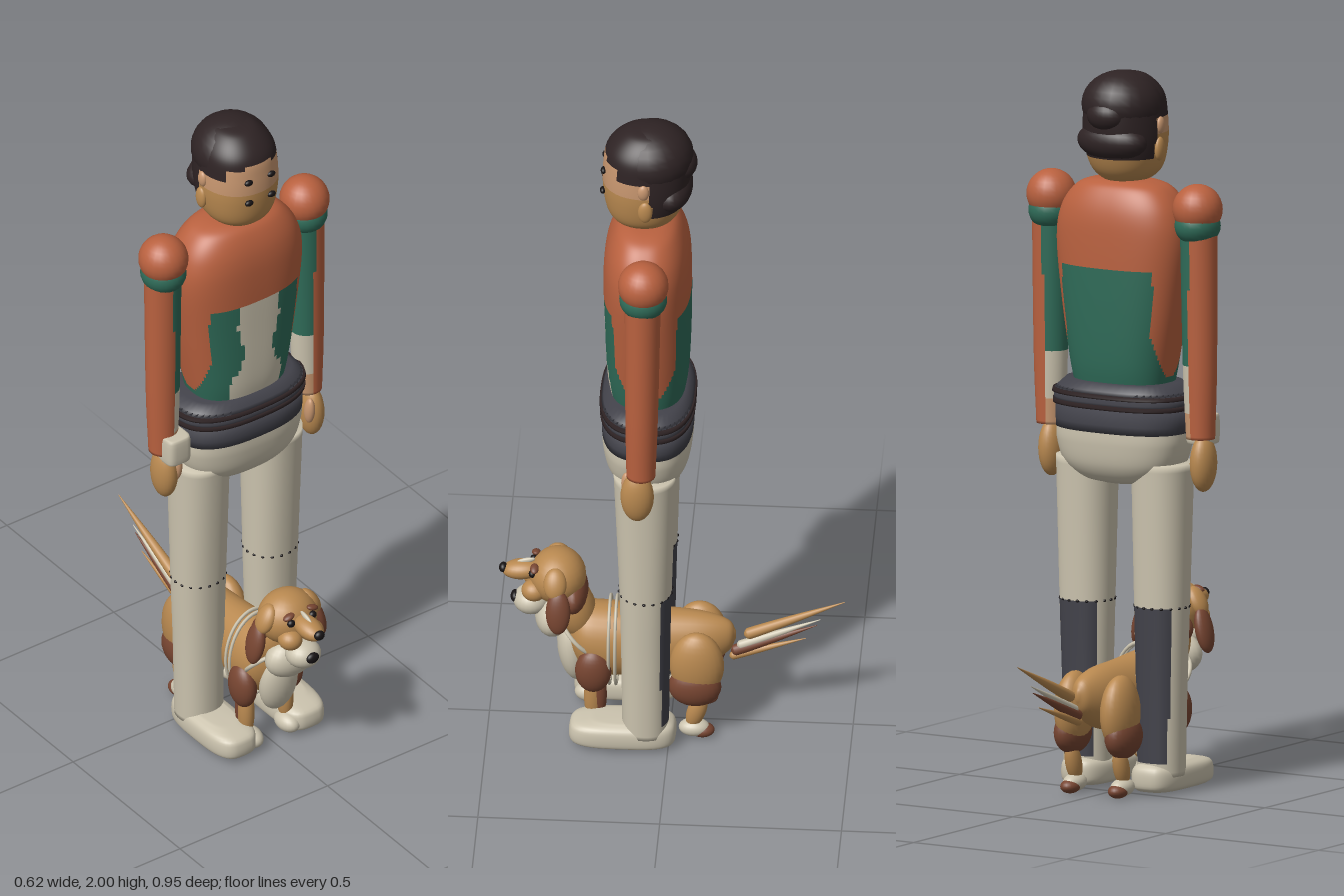
import * as THREE from 'three';

const mat = (name, color) => Object.assign(new THREE.MeshStandardMaterial({ color }), { name });
const M = {
  orange: mat('rust orange', 0xb9613f),
  green: mat('deep green', 0x2f6b58),
  cream: mat('cream', 0xcbc3ae),
  skin: mat('light skin', 0xc7966f),
  tan: mat('tan', 0xb98950),
  brown: mat('red brown', 0x774531),
  charcoal: mat('charcoal', 0x42424a),
  hair: mat('dark hair', 0x2e2324),
  black: mat('black', 0x171314),
};

// Smooth loft through superellipse rings: rows of [y, rx, rz, cx, cz], bottom to top
function loft(rows, power = 2, seg = 32, steps = 40) {
  const size = new THREE.CatmullRomCurve3(rows.map(r => new THREE.Vector3(r[1], r[0], r[2])), false, 'catmullrom', 0.5);
  const mid = new THREE.CatmullRomCurve3(rows.map(r => new THREE.Vector3(r[3], 0, r[4])), false, 'catmullrom', 0.5);
  const pos = [], idx = [];
  const bend = v => Math.sign(v) * Math.abs(v) ** (2 / power);
  for (let j = 0; j <= steps; j++) {
    const s = size.getPoint(j / steps), c = mid.getPoint(j / steps);
    for (let i = 0; i < seg; i++) {
      const a = i / seg * Math.PI * 2;
      pos.push(c.x + s.x * bend(Math.cos(a)), s.y, c.z + s.z * bend(Math.sin(a)));
    }
  }
  for (let j = 0; j < steps; j++) for (let i = 0; i < seg; i++) {
    const a = j * seg + i, b = j * seg + (i + 1) % seg, c = a + seg, d = b + seg;
    idx.push(a, c, b, b, c, d);
  }
  const first = rows[0], last = rows[rows.length - 1], n = pos.length / 3, top = steps * seg;
  pos.push(first[3], first[0], first[4], last[3], last[0], last[4]);
  for (let i = 0; i < seg; i++) idx.push(n, i, (i + 1) % seg);
  for (let i = 0; i < seg; i++) idx.push(n + 1, top + (i + 1) % seg, top + i);
  const g = new THREE.BufferGeometry();
  g.setAttribute('position', new THREE.Float32BufferAttribute(pos, 3));
  g.setIndex(idx);
  g.computeVertexNormals();
  return g;
}

// Assigns each quad of a loft to a colour chosen by its centre
function paint(geo, rule) {
  const p = geo.attributes.position, old = geo.index.array, buckets = new Map();
  for (let k = 0; k < old.length; k += 6) {
    const c = new THREE.Vector3(), v = new THREE.Vector3();
    for (let q = 0; q < 6; q++) c.addScaledVector(v.fromBufferAttribute(p, old[k + q]), 1 / 6);
    const m = rule(c.x, c.y, c.z);
    if (!buckets.has(m)) buckets.set(m, []);
    buckets.get(m).push(...old.slice(k, k + 6));
  }
  const idx = [], mats = [...buckets.keys()];
  mats.forEach((m, i) => { geo.addGroup(idx.length, buckets.get(m).length, i); idx.push(...buckets.get(m)); });
  geo.setIndex(idx);
  return new THREE.Mesh(geo, mats);
}

export function createModel() {
  const root = new THREE.Group();
  root.name = 'personWithDog';
  const person = new THREE.Group(), dog = new THREE.Group();
  person.name = 'person';
  dog.name = 'dog';
  root.add(person, dog);
  const add = (parent, name, mesh) => { mesh.name = name; parent.add(mesh); return mesh; };
  const ball = (parent, name, m, [x, y, z], [rx, ry, rz], [ax, az] = [0, 0]) => {
    const b = add(parent, name, new THREE.Mesh(new THREE.SphereGeometry(1, 24, 16), m));
    b.position.set(x, y, z);
    b.scale.set(rx, ry, rz);
    b.rotation.set(ax, 0, az);
    return b;
  };
  const pair = (parent, name, m, [x, y, z], r, [ax, az] = [0, 0]) => {
    for (const s of [1, -1]) ball(parent, name + (s > 0 ? 'Left' : 'Right'), m, [s * x, y, z], r, [ax, s * az]);
  };

  // Torso with coloured panels
  add(person, 'jacket', paint(loft([
    [1.12, 0.14, 0.10, 0, 0.063], [1.2, 0.155, 0.112, 0, 0.063], [1.35, 0.18, 0.118, 0, 0.063], [1.52, 0.2, 0.12, 0, 0.065],
    [1.61, 0.188, 0.113, 0, 0.065], [1.67, 0.15, 0.09, 0, 0.065], [1.695, 0.1, 0.06, 0, 0.065], [1.702, 0.01, 0.01, 0, 0.065],
  ], 2.5, 96, 64), (x, y, z) => {
    const ax = Math.abs(x), wave = 0.01 * Math.sin(y * 28);
    if (y > 1.46 || ax > 0.142 + wave * 0.6) return M.orange;
    return z > 0.06 && ax < 0.06 + wave + (y < 1.22 ? 0.015 : 0) ? M.cream : M.green;
  }));

  // Waistband and pelvis
  add(person, 'pelvis', new THREE.Mesh(loft([
    [0.855, 0.06, 0.05, 0, 0.063], [0.87, 0.13, 0.085, 0, 0.063], [0.91, 0.175, 0.112, 0, 0.063],
    [0.97, 0.195, 0.124, 0, 0.063], [1.02, 0.196, 0.125, 0, 0.063],
  ], 2.6, 48), M.cream));
  const band = (name, m, y0, y1, r0, r1) => add(person, name, new THREE.Mesh(loft(
    [[y0, r0, r0 * 0.635, 0, 0.063], [y1, r1, r1 * 0.635, 0, 0.063]], 2.6, 48, 2), m));
  band('beltLower', M.charcoal, 1.005, 1.075, 0.198, 0.2);
  band('beltTrim', M.hair, 1.07, 1.083, 0.207, 0.207);
  band('beltUpper', M.charcoal, 1.08, 1.105, 0.203, 0.203);
  band('beltTopTrim', M.hair, 1.1, 1.112, 0.209, 0.206);
  band('beltRim', M.charcoal, 1.11, 1.142, 0.203, 0.168);

  for (const s of [1, -1]) {
    const side = s > 0 ? 'Left' : 'Right';
    // Trouser leg with a dark panel on the calf
    add(person, 'leg' + side, paint(loft([
      [0.05, 0.066, 0.064, s * 0.12, 0.063], [0.3, 0.07, 0.067, s * 0.121, 0.063],
      [0.52, 0.076, 0.072, s * 0.122, 0.063], [0.92, 0.084, 0.086, s * 0.123, 0.065],
    ], 2.2, 48, 60), (x, y, z) => y < 0.515 && y > 0.09 && z < 0.018 ? M.charcoal : M.cream));
    // Stitching around the knee
    for (let i = 0; i < 18; i++) {
      const a = i / 18 * Math.PI * 2;
      ball(person, 'kneeStitch' + side, M.black, [s * 0.122 + 0.076 * Math.cos(a), 0.52, 0.063 + 0.072 * Math.sin(a)], [0.005, 0.004, 0.005]);
    }
    // Shoe
    add(person, 'shoe' + side, new THREE.Mesh(loft([
      [0.008, 0.055, 0.13, s * 0.115, 0.127], [0.02, 0.068, 0.145, s * 0.115, 0.127], [0.05, 0.07, 0.147, s * 0.115, 0.126],
      [0.072, 0.063, 0.138, s * 0.115, 0.122], [0.085, 0.04, 0.1, s * 0.115, 0.1],
    ], 3.2, 40, 16), M.cream));
    // Sleeve, orange outside and panelled inside
    add(person, 'sleeve' + side, paint(loft([
      [0.995, 0.04, 0.04, s * 0.245, 0.068], [1.2, 0.048, 0.045, s * 0.244, 0.066], [1.6, 0.053, 0.05, s * 0.242, 0.063],
    ], 2, 32, 50), (x, y) => {
      if (s * x > 0.238) return M.orange;
      return y > 1.2 ? M.green : y > 1.07 ? M.cream : M.skin;
    }));
    ball(person, 'shoulder' + side, M.orange, [s * 0.239, 1.634, 0.062], [0.069, 0.069, 0.07]);
    ball(person, 'shoulderTrim' + side, M.green, [s * 0.239, 1.588, 0.062], [0.063, 0.056, 0.066]);
    // Hand with thumb
    ball(person, 'hand' + side, M.tan, [s * 0.248, 0.925, 0.078], [0.034, 0.08, 0.046]);
    ball(person, 'thumb' + side, M.skin, [s * 0.225, 0.945, 0.105], [0.014, 0.042, 0.018], [0.1, 0]);
    // Ear
    ball(person, 'earLower' + side, M.tan, [s * 0.113, 1.79, 0.065], [0.012, 0.033, 0.02]);
    ball(person, 'earUpper' + side, M.skin, [s * 0.112, 1.855, 0.07], [0.011, 0.024, 0.016]);
    // Face details
    ball(person, 'eye' + side, M.black, [s * 0.038, 1.875, 0.184], [0.013, 0.009, 0.008]);
    ball(person, 'cheekMark' + side, M.black, [s * 0.038, 1.808, 0.186], [0.013, 0.009, 0.008]);
  }
  // Wrist cuff
  add(person, 'wristCuff', new THREE.Mesh(loft([
    [0.975, 0.03, 0.03, -0.232, 0.1], [0.985, 0.038, 0.04, -0.232, 0.1],
    [1.05, 0.038, 0.04, -0.232, 0.1], [1.06, 0.03, 0.03, -0.232, 0.1],
  ], 4, 32, 12), M.cream));

  // Head: chin, face and hairline
  add(person, 'head', paint(loft([
    [1.685, 0.01, 0.01, 0, 0.075], [1.695, 0.055, 0.06, 0, 0.075], [1.73, 0.095, 0.097, 0, 0.075], [1.8, 0.112, 0.117, 0, 0.07],
    [1.88, 0.111, 0.121, 0, 0.066], [1.94, 0.1, 0.112, 0, 0.063], [1.985, 0.06, 0.068, 0, 0.06], [1.998, 0.01, 0.01, 0, 0.06],
  ], 2.15, 64, 64), (x, y, z) => {
    const front = Math.abs(x) < 0.04 ? 1.925 : Math.abs(x) < 0.085 ? 1.912 : 1.875;
    if (y > front || (z < 0.05 && y > 1.765)) return M.hair;
    return y > 1.83 ? M.skin : M.tan;
  }));
  ball(person, 'hairCrown', M.hair, [0, 1.905, 0.053], [0.113, 0.095, 0.115]).rotation.x = 0.1;
  ball(person, 'hairBun', M.hair, [0, 1.885, -0.025], [0.06, 0.045, 0.047]);
  ball(person, 'hairNape', M.hair, [0, 1.81, 0.0], [0.108, 0.055, 0.06]);

  // Dog body, lofted nose to tail
  const body = loft([
    [-0.178, 0.005, 0.012, 0, -0.29], [-0.155, 0.033, 0.05, 0, -0.285], [-0.08, 0.062, 0.085, 0, -0.272], [0.05, 0.078, 0.1, 0, -0.265],
    [0.18, 0.09, 0.11, 0, -0.265], [0.25, 0.075, 0.09, 0, -0.28], [0.29, 0.02, 0.03, 0, -0.29],
  ]);
  body.rotateX(Math.PI / 2);
  add(dog, 'dogBody', new THREE.Mesh(body, M.tan));
  ball(dog, 'dogNeck', M.tan, [0, 0.37, 0.27], [0.07, 0.1, 0.06], [0.35, 0]);
  ball(dog, 'dogRuff', M.brown, [0, 0.42, 0.268], [0.088, 0.055, 0.04]);
  ball(dog, 'dogChest', M.cream, [0, 0.225, 0.27], [0.058, 0.1, 0.042], [0.15, 0]);
  ball(dog, 'dogThroat', M.cream, [0, 0.34, 0.325], [0.078, 0.06, 0.05]);

  // Dog head
  ball(dog, 'dogSkull', M.tan, [0, 0.47, 0.312], [0.086, 0.078, 0.078]);
  ball(dog, 'dogMuzzle', M.tan, [0, 0.485, 0.41], [0.034, 0.027, 0.056], [0.1, 0]);
  ball(dog, 'dogNose', M.black, [0, 0.488, 0.462], [0.016, 0.014, 0.012]);
  ball(dog, 'dogBlaze', M.cream, [0, 0.513, 0.4], [0.006, 0.008, 0.026], [0.25, 0]);
  ball(dog, 'dogJaw', M.cream, [0, 0.385, 0.385], [0.05, 0.04, 0.05]);
  ball(dog, 'dogMouth', M.black, [0, 0.393, 0.43], [0.02, 0.016, 0.012]);
  pair(dog, 'dogJowl', M.tan, [0.036, 0.44, 0.375], [0.034, 0.03, 0.035]);
  pair(dog, 'dogEye', M.black, [0.036, 0.495, 0.38], [0.012, 0.011, 0.01]);
  pair(dog, 'dogBrow', M.brown, [0.04, 0.515, 0.374], [0.018, 0.008, 0.012], [0, -0.3]);
  pair(dog, 'dogEarRoot', M.tan, [0.075, 0.49, 0.315], [0.022, 0.045, 0.032], [0, 0.5]);
  pair(dog, 'dogEar', M.brown, [0.103, 0.415, 0.305], [0.021, 0.065, 0.034], [0, 0.22]);

  // Dog legs
  pair(dog, 'dogShoulder', M.brown, [0.078, 0.205, 0.21], [0.034, 0.068, 0.05]);
  pair(dog, 'dogForeleg', M.tan, [0.066, 0.11, 0.21], [0.022, 0.085, 0.026]);
  pair(dog, 'dogForelegBack', M.brown, [0.068, 0.12, 0.193], [0.019, 0.075, 0.02]);
  pair(dog, 'dogForepaw', M.cream, [0.062, 0.034, 0.225], [0.031, 0.029, 0.045]);
  pair(dog, 'dogThigh', M.tan, [0.075, 0.235, -0.075], [0.046, 0.105, 0.075]);
  pair(dog, 'dogHaunch', M.brown, [0.083, 0.17, -0.07], [0.042, 0.062, 0.073]);
  pair(dog, 'dogHindleg', M.tan, [0.078, 0.085, -0.075], [0.022, 0.06, 0.026], [-0.3, 0]);
  pair(dog, 'dogHindpaw', M.cream, [0.078, 0.028, -0.068], [0.029, 0.025, 0.043]);
  pair(dog, 'dogHeel', M.brown, [0.078, 0.02, -0.09], [0.026, 0.02, 0.034]);

  // Harness straps
  for (const z of [0.15, 0.168]) {
    const strap = add(dog, 'harnessStrap', new THREE.Mesh(new THREE.TorusGeometry(1, 0.045, 8, 40), M.cream));
    strap.position.set(0, 0.258, z);
    strap.scale.set(0.092, 0.135, 0.1);
  }
  const collar = add(dog, 'harnessCollar', new THREE.Mesh(new THREE.TorusGeometry(0.085, 0.006, 8, 40), M.cream));
  collar.position.set(0, 0.29, 0.25);
  collar.rotation.x = 0.75;

  // Tail strands: tapered cones with rounded roots
  const strand = (name, m, a, b, r) => {
    const from = new THREE.Vector3(...a), to = new THREE.Vector3(...b), dir = to.clone().sub(from);
    const c = add(dog, name, new THREE.Mesh(loft([
      [0, 0.002, 0.002, 0, 0], [0.03, r * 0.85, r * 0.85, 0, 0], [0.1, r, r, 0, 0], [0.5, r * 0.7, r * 0.7, 0, 0], [1, 0.001, 0.001, 0, 0],
    ], 2, 14, 24).scale(1, dir.length(), 1), m));
    c.position.copy(from);
    c.quaternion.setFromUnitVectors(new THREE.Vector3(0, 1, 0), dir.normalize());
  };
  strand('tailTop', M.tan, [0, 0.288, -0.2], [0, 0.412, -0.477], 0.016);
  strand('tailMiddle', M.cream, [0, 0.25, -0.18], [0, 0.35, -0.41], 0.013);
  strand('tailLower', M.brown, [0, 0.232, -0.165], [0, 0.33, -0.4], 0.016);
  strand('tailBottom', M.tan, [0, 0.215, -0.16], [0, 0.285, -0.37], 0.012);
  return root;
}
